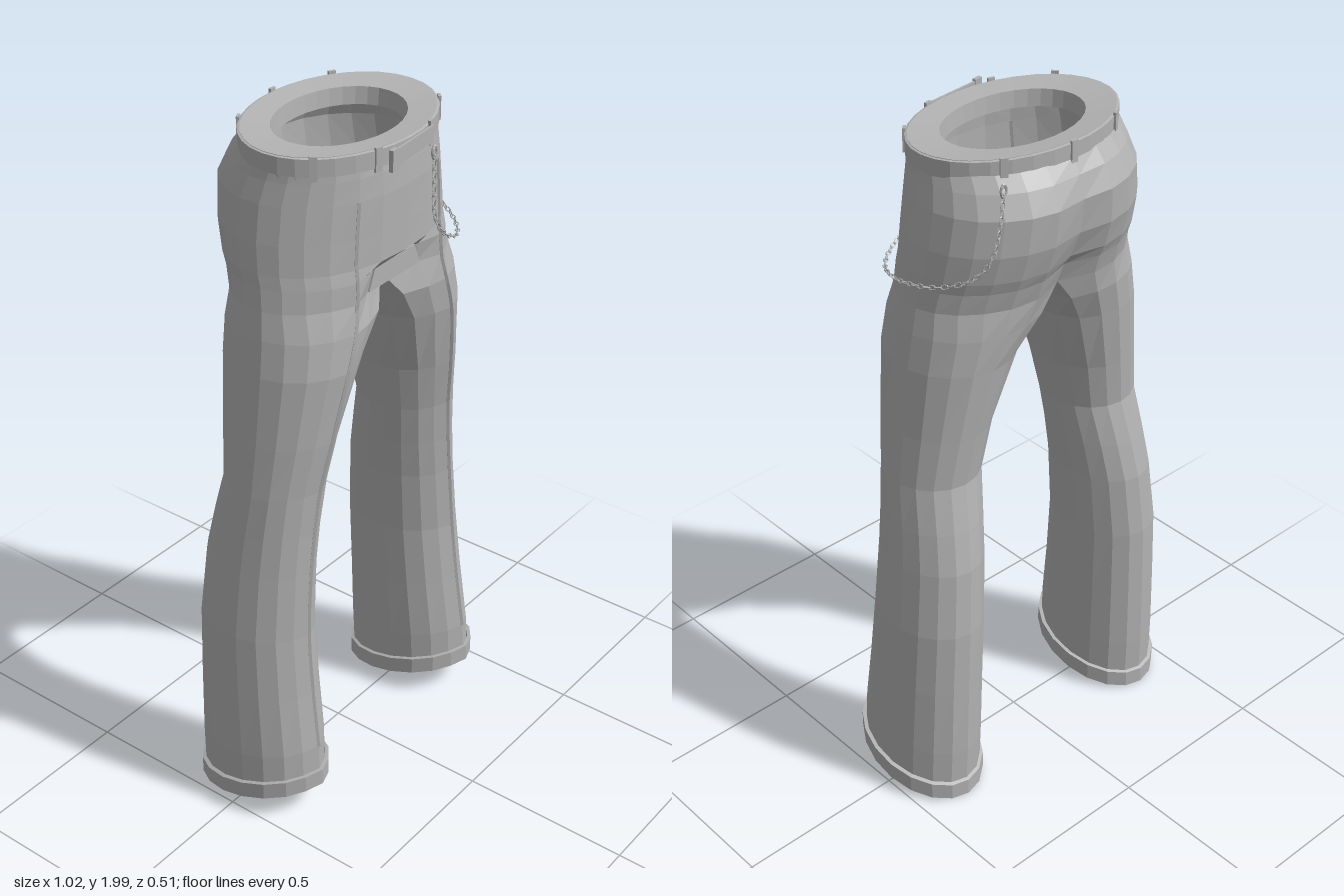
import * as THREE from 'three';

const cloth = new THREE.MeshStandardMaterial({ color: 0xb2b2b2, flatShading: true, side: THREE.DoubleSide });
cloth.name = 'greyCloth';

// Half-body sections: y, inner x, outer x, front z, back z, blend leg->hip, seat cleft, crotch recess
const ROWS = [
  [0.05, 0.217, 0.502, 0.205, -0.185, 0, 0, 0],
  [0.2, 0.214, 0.498, 0.2, -0.19, 0, 0, 0],
  [0.4, 0.211, 0.488, 0.178, -0.19, 0, 0, 0],
  [0.6, 0.207, 0.476, 0.16, -0.19, 0, 0, 0],
  [0.8, 0.195, 0.453, 0.156, -0.175, 0, 0, 0],
  [0.92, 0.18, 0.44, 0.158, -0.152, 0, 0, 0],
  [1.05, 0.16, 0.427, 0.165, -0.122, 0, 0, 0],
  [1.2, 0.128, 0.41, 0.187, -0.137, 0, 0, 0],
  [1.4, 0.078, 0.39, 0.216, -0.165, 0.15, 0, 0],
  [1.5, 0.038, 0.374, 0.228, -0.187, 0.45, 0.01, 0.04],
  [1.575, 0, 0.36, 0.236, -0.207, 1, 0.05, 0.09],
  [1.635, 0, 0.352, 0.236, -0.225, 1, 0.045, 0.07],
  [1.67, 0, 0.35, 0.23, -0.24, 1, 0.035, 0],
  [1.75, 0, 0.342, 0.23, -0.262, 1, 0.025, 0],
  [1.85, 0, 0.325, 0.23, -0.268, 1, 0.018, 0],
  [1.91, 0, 0.31, 0.226, -0.238, 1, 0.008, 0],
  [1.95, 0, 0.302, 0.22, -0.205, 1, 0, 0],
];
const OUT = 13, INN = 5, CREASE = 2;
const rad = THREE.MathUtils.degToRad, lerp = THREE.MathUtils.lerp;

// The legs stand slightly to one side of the waist
const drift = y => 0.01 * Math.max(0, 1 - y / 1.2);

// One section loop: front middle, round the outside, back middle, then the inner side
function section([y, xi, xo, zf, zb, m, cleft, recess], grow = 0, lift = 0) {
  const cx = (xi + xo) / 2, rx = (xo - xi) / 2 + grow;
  const cz = (zf + zb) / 2, rz = (zf - zb) / 2 + grow;
  const tilt = 0.23 * Math.max(0, 1 - (y - 0.05) / 0.4);
  const front = cz + rz - recess, back = cz - rz + cleft;
  const loop = [];
  for (let i = 0; i < OUT + INN; i++) {
    const a = rad(130 - 20 * i);
    const lx = cx + rx * Math.cos(a);
    const lz = cz + rz * Math.sin(a) + (i === CREASE ? 0.008 * (1 - m) : 0);
    let hx = 0, hz;
    if (i <= OUT) {
      const t = rad(90 - 180 * i / OUT);
      hx = i === 0 || i === OUT ? 0 : xo * Math.pow(Math.cos(t), 0.88);
      hz = cz + rz * Math.sin(t);
      if (i < 2) hz -= recess * (1 - i / 2);
      if (i === OUT) hz = back;
      if (i === OUT - 1) hz += cleft * 0.2;
    } else hz = lerp(back, front, (i - OUT) / INN);
    const z = lerp(lz, hz, m);
    loop.push(new THREE.Vector3(lerp(lx, hx, m), y + lift + tilt * z, z));
  }
  return loop;
}

const mirrored = loop => loop.map(p => new THREE.Vector3(-p.x, p.y, p.z)).reverse();

// Skin over a stack of loops, leaving out the middle plane
function loft(name, loops) {
  const n = loops[0].length, pos = [], idx = [];
  loops.forEach(l => l.forEach(p => pos.push(p.x + drift(p.y), p.y, p.z)));
  for (let r = 0; r < loops.length - 1; r++)
    for (let i = 0; i < n; i++) {
      const j = (i + 1) % n;
      const q = [loops[r][i], loops[r][j], loops[r + 1][j], loops[r + 1][i]];
      if (q.every(p => Math.abs(p.x) < 1e-6)) continue;
      const a = r * n + i, b = r * n + j, c = b + n, d = a + n;
      idx.push(a, b, c, a, c, d);
    }
  const g = new THREE.BufferGeometry();
  g.setAttribute('position', new THREE.Float32BufferAttribute(pos, 3));
  g.setIndex(idx);
  g.computeVertexNormals();
  return named(name, g);
}

function named(name, geometry) {
  const mesh = new THREE.Mesh(geometry, cloth);
  mesh.name = name;
  return mesh;
}

// Waist oval, a little higher at the back
function oval(a, b, y, n = 32) {
  return Array.from({ length: n }, (_, i) => {
    const t = i / n * Math.PI * 2, z = 0.012 - b * Math.sin(t);
    return new THREE.Vector3(a * Math.cos(t), y - 0.03 * z, z);
  });
}

export function createModel() {
  const group = new THREE.Group();
  group.name = 'trousers';
  const body = new THREE.Group();
  body.name = 'trouserBody';
  body.position.x = -0.01;
  group.add(body);

  // Legs with hips, cuffs and front creases
  for (const side of ['left', 'right']) {
    const flip = side === 'left' ? l => l : mirrored;
    const s = side === 'left' ? 1 : -1;
    const loops = ROWS.map(r => section(r));
    body.add(loft(side + 'Leg', loops.map(flip)));
    const cuff = [[0, 0.05], [0, 0], [0.011, 0], [0.011, 0.052], [0, 0.054]];
    body.add(loft(side + 'Cuff', cuff.map(([g, l]) => flip(section(ROWS[0], g, l)))));
    const path = loops.slice(1, 15).map(l => {
      const p = l[CREASE];
      return new THREE.Vector3(s * p.x + drift(p.y), p.y, p.z);
    });
    body.add(named(side + 'FrontCrease',
      new THREE.TubeGeometry(new THREE.CatmullRomCurve3(path), 40, 0.006, 4)));
  }

  // Waistband with a thick flat rim and lining
  body.add(loft('waistband', [
    oval(0.303, 0.213, 1.92), oval(0.303, 0.213, 1.985),
    oval(0.21, 0.15, 1.978), oval(0.205, 0.145, 1.93),
  ]));
  body.add(loft('belt', [
    oval(0.302, 0.212, 1.935), oval(0.309, 0.22, 1.935),
    oval(0.309, 0.22, 1.982), oval(0.302, 0.212, 1.984),
  ]));

  // Belt loops round the waist
  [-111, -70, -37, -147, 52, 128, 90].forEach(deg => {
    const t = rad(deg), x = 0.31 * Math.cos(t), z = 0.012 - 0.221 * Math.sin(t);
    const tab = named('beltLoop', new THREE.BoxGeometry(0.02, 0.066, 0.008));
    tab.position.set(x, 1.958 - 0.03 * z, z);
    tab.rotation.y = Math.atan2(x / 0.31 ** 2, (z - 0.012) / 0.221 ** 2);
    body.add(tab);
  });

  // Overlapping belt end and its clasp
  const end = named('beltEnd', new THREE.BoxGeometry(0.2, 0.046, 0.006));
  end.position.set(0.005, 1.951, 0.239);
  end.rotation.y = 0.1;
  const clasp = named('beltClasp', new THREE.BoxGeometry(0.025, 0.058, 0.012));
  clasp.position.set(-0.09, 1.951, 0.249);
  clasp.rotation.y = 0.1;
  body.add(end, clasp);

  // Small flap below the fly
  const shape = new THREE.Shape([[-0.115, 1.58], [0.105, 1.58], [0.08, 1.64], [-0.09, 1.64]]
    .map(p => new THREE.Vector2(...p)));
  const flap = named('crotchFlap', new THREE.ExtrudeGeometry(shape, { depth: 0.005, bevelEnabled: false }));
  flap.position.z = 0.192;
  body.add(flap);

  // Hanging chain from the front loop round to the back loop
  const chain = new THREE.Group();
  chain.name = 'chain';
  const curve = new THREE.CatmullRomCurve3([
    [0.105, 1.9, 0.234], [0.106, 1.8, 0.236], [0.112, 1.72, 0.236], [0.155, 1.655, 0.236],
    [0.235, 1.615, 0.222], [0.31, 1.612, 0.165], [0.357, 1.63, 0.08], [0.366, 1.645, 0],
    [0.348, 1.665, -0.09], [0.305, 1.7, -0.165], [0.27, 1.76, -0.204],
    [0.242, 1.85, -0.206], [0.222, 1.93, -0.195],
  ].map(p => new THREE.Vector3(...p)));
  const link = new THREE.TorusGeometry(0.006, 0.0018, 4, 8).scale(1.75, 1, 1);
  const count = Math.round(curve.getLength() / 0.0185);
  const xAxis = new THREE.Vector3(1, 0, 0);
  for (let i = 0; i <= count; i++) {
    const m = named('chainLink', link);
    m.position.copy(curve.getPointAt(i / count));
    m.quaternion.setFromUnitVectors(xAxis, curve.getTangentAt(i / count));
    m.rotateX(i % 2 ? Math.PI / 2 : 0);
    chain.add(m);
  }
  for (const t of [0, 1]) {
    const clip = named('chainClip', new THREE.TorusGeometry(0.012, 0.0035, 5, 10).scale(0.8, 1.4, 1));
    clip.position.copy(curve.getPointAt(t));
    chain.add(clip);
  }
  body.add(chain);
  return group;
}
